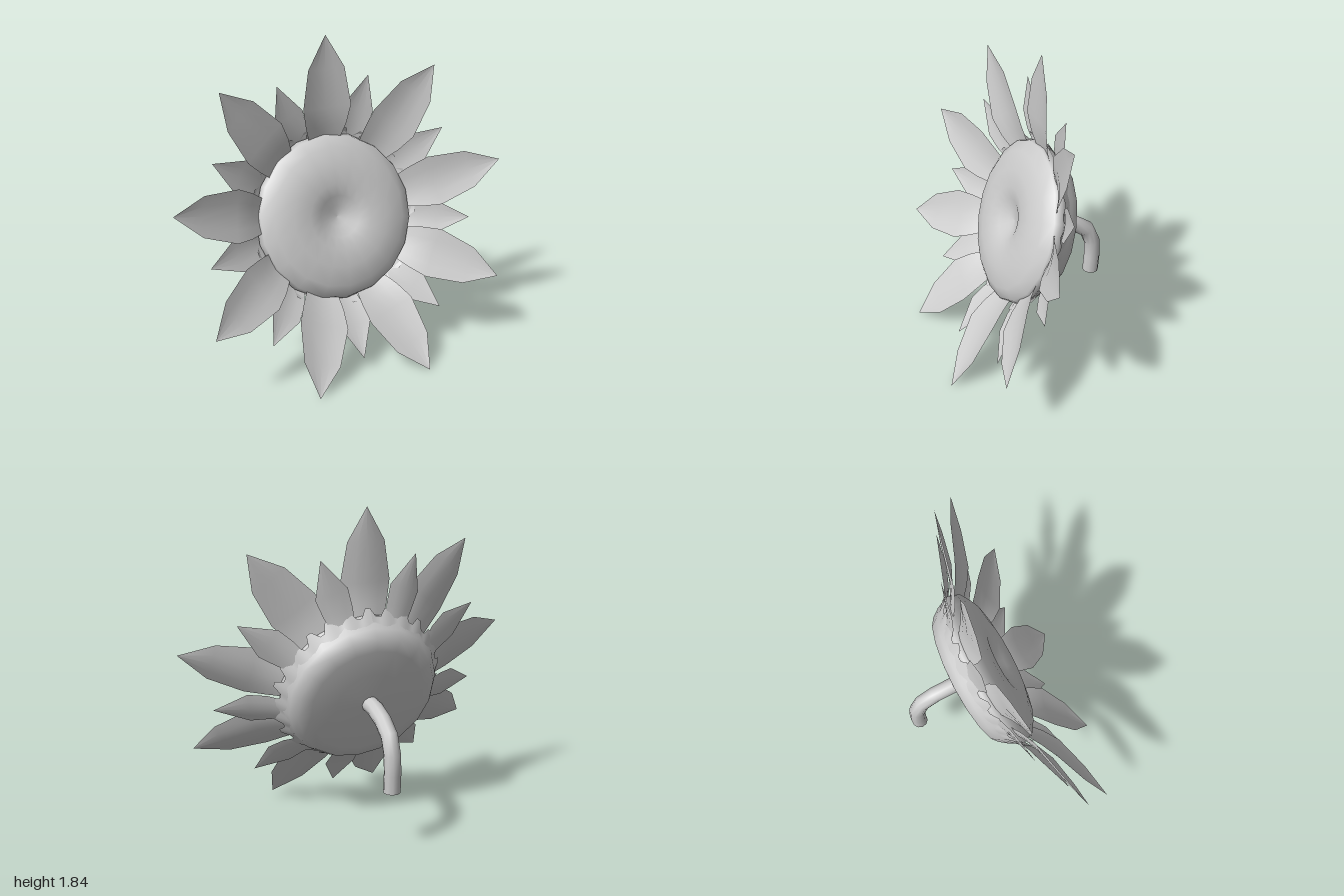
import * as THREE from 'three';

const material = new THREE.MeshStandardMaterial({ color: 0xcccccc });
const thin = new THREE.MeshStandardMaterial({ color: 0xcccccc, side: THREE.DoubleSide });

function add(parent, name, geometry, mat = material) {
  const mesh = new THREE.Mesh(geometry, mat);
  mesh.name = name;
  parent.add(mesh);
  return mesh;
}

// Turned body whose axis is +z; profile points are [radius, z]
function turned(profile) {
  const points = profile.map(([r, z]) => new THREE.Vector2(r, z));
  return new THREE.LatheGeometry(points, 18, Math.PI).rotateX(Math.PI / 2);
}

// Skin a grid of points given as rows of equal length
function skin(rows) {
  const n = rows[0].length;
  const index = [];
  for (let i = 0; i < rows.length - 1; i++) {
    for (let j = 0; j < n - 1; j++) {
      const a = i * n + j;
      index.push(a, a + 1, a + n, a + 1, a + n + 1, a + n);
    }
  }
  const geometry = new THREE.BufferGeometry();
  geometry.setAttribute('position', new THREE.Float32BufferAttribute(rows.flat(2), 3));
  geometry.setIndex(index);
  geometry.computeVertexNormals();
  return geometry;
}

// Cupped petal pointing along +y; sections are [distance, half width, z]
function petal(sections, cup) {
  return skin(sections.map(([r, w, z]) =>
    [-1, -0.5, 0, 0.5, 1].map((t) => [t * w, r, z + cup * t * t * w])));
}

export function createModel() {
  const model = new THREE.Group();
  model.name = 'sunflower';

  // Flower head, tilted to look upward
  const head = new THREE.Group();
  head.name = 'flowerHead';
  head.position.set(0, 0.765, -0.145);
  head.rotation.x = -THREE.MathUtils.degToRad(20);
  model.add(head);

  // Rounded back of the head
  add(head, 'receptacle', turned([
    [0, -0.045], [0.2, -0.035], [0.34, -0.018], [0.41, 0], [0.445, 0.05], [0.475, 0.12],
  ]));

  // Domed face with a shallow dimple
  add(head, 'seedDisc', turned([
    [0.45, 0.09], [0.48, 0.13], [0.465, 0.17], [0.4, 0.212], [0.29, 0.235],
    [0.19, 0.232], [0.12, 0.212], [0.06, 0.18], [0, 0.17],
  ]));

  // Two rings of nine petals, the short ones behind
  const longPetal = petal([
    [0.45, 0.1, 0.14], [0.52, 0.125, 0.185], [0.62, 0.147, 0.235], [0.83, 0.11, 0.305], [1.01, 0, 0.375],
  ], 0.17);
  const shortPetal = petal([
    [0.45, 0.065, 0.1], [0.53, 0.085, 0.145], [0.63, 0.095, 0.185], [0.82, 0, 0.257],
  ], 0.15);
  for (let i = 0; i < 9; i++) {
    const angle = (i * Math.PI * 2) / 9;
    add(head, 'longPetal', longPetal, thin).rotation.z = angle;
    add(head, 'shortPetal', shortPetal, thin).rotation.z = angle + Math.PI / 9;
  }

  // Ragged collar of small teeth behind the petals
  const collar = [[], []];
  const steps = 108;
  for (let i = 0; i <= steps; i++) {
    const a = (i / steps) * Math.PI * 2;
    const [r, z] = i % 4 < 2 ? [0.513, 0.15] : [0.478, 0.115];
    collar[0].push([0.435 * Math.sin(a), 0.435 * Math.cos(a), 0.055]);
    collar[1].push([r * Math.sin(a), r * Math.cos(a), z]);
  }
  add(head, 'collar', skin(collar), thin);

  // Stem bending down from the back, closed at its cut end
  const path = new THREE.CatmullRomCurve3([
    [0.755, -0.15], [0.74, -0.28], [0.69, -0.39], [0.63, -0.455], [0.53, -0.483], [0.34, -0.478],
  ].map(([y, z]) => new THREE.Vector3(0, y, z)));
  add(model, 'stem', new THREE.TubeGeometry(path, 6, 0.048, 10));
  const end = add(model, 'stemEnd', new THREE.CircleGeometry(0.048, 10));
  end.position.copy(path.getPoint(1));
  end.lookAt(end.position.clone().add(path.getTangent(1)));

  return model;
}
